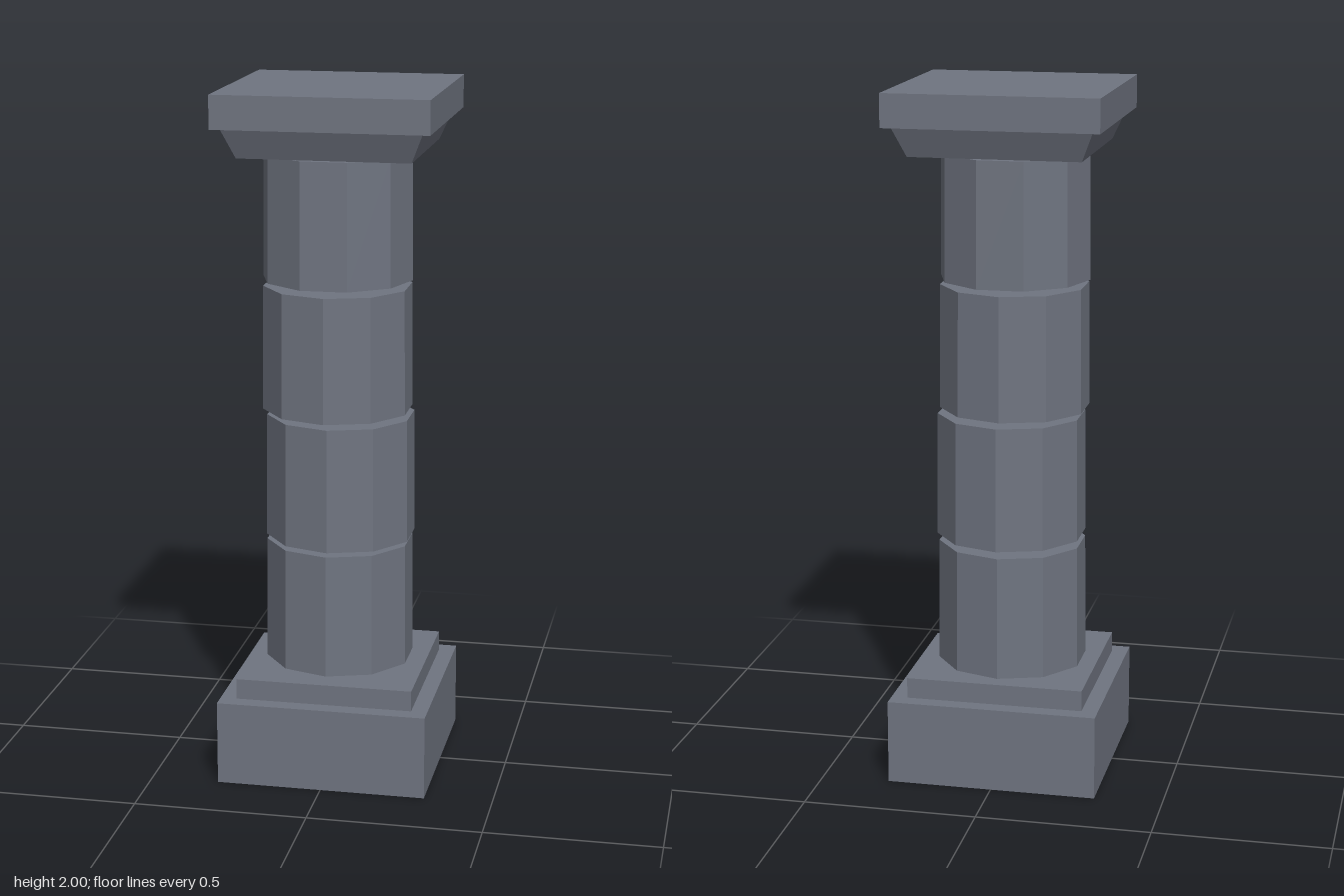
import * as THREE from 'three';

export function createModel() {
  const column = new THREE.Group();
  column.name = 'column';
  const stone = new THREE.MeshStandardMaterial({ color: 0x6f7480, flatShading: true });
  stone.name = 'slateStone';

  function add(name, geometry, x, y, z) {
    const mesh = new THREE.Mesh(geometry, stone);
    mesh.name = name;
    mesh.position.set(x, y, z);
    column.add(mesh);
    return mesh;
  }

  // Square slab between two heights
  function slab(name, half, y0, y1) {
    add(name, new THREE.BoxGeometry(half * 2, y1 - y0, half * 2), 0, (y0 + y1) / 2, 0);
  }

  // Stepped base
  slab('plinth', 0.304, 0, 0.245);
  slab('baseStep', 0.257, 0.245, 0.305);

  // Ten-sided shaft drums, slightly tapered, shifted and separated by open joints
  const drums = [
    { x: -0.003, z: -0.011, turn: 0 },
    { x: 0.002, z: 0, turn: 0 },
    { x: -0.006, z: 0.005, turn: 0 },
    { x: -0.008, z: 0, turn: Math.PI / 10 },
  ];
  const height = 0.361;
  drums.forEach(({ x, z, turn }, i) => {
    const y = 0.313 + i * 0.379 + height / 2;
    const drum = add('shaftDrum' + (i + 1), new THREE.CylinderGeometry(0.215, 0.218, height, 10), x, y, z);
    drum.rotation.y = turn;
  });

  // Flaring square capital and its top slab
  const flare = new THREE.CylinderGeometry(0.28 * Math.SQRT2, 0.244 * Math.SQRT2, 0.085, 4);
  flare.rotateY(Math.PI / 4);
  add('capitalFlare', flare, 0, 1.8625, 0);
  slab('capitalSlab', 0.304, 1.905, 2);

  return column;
}
